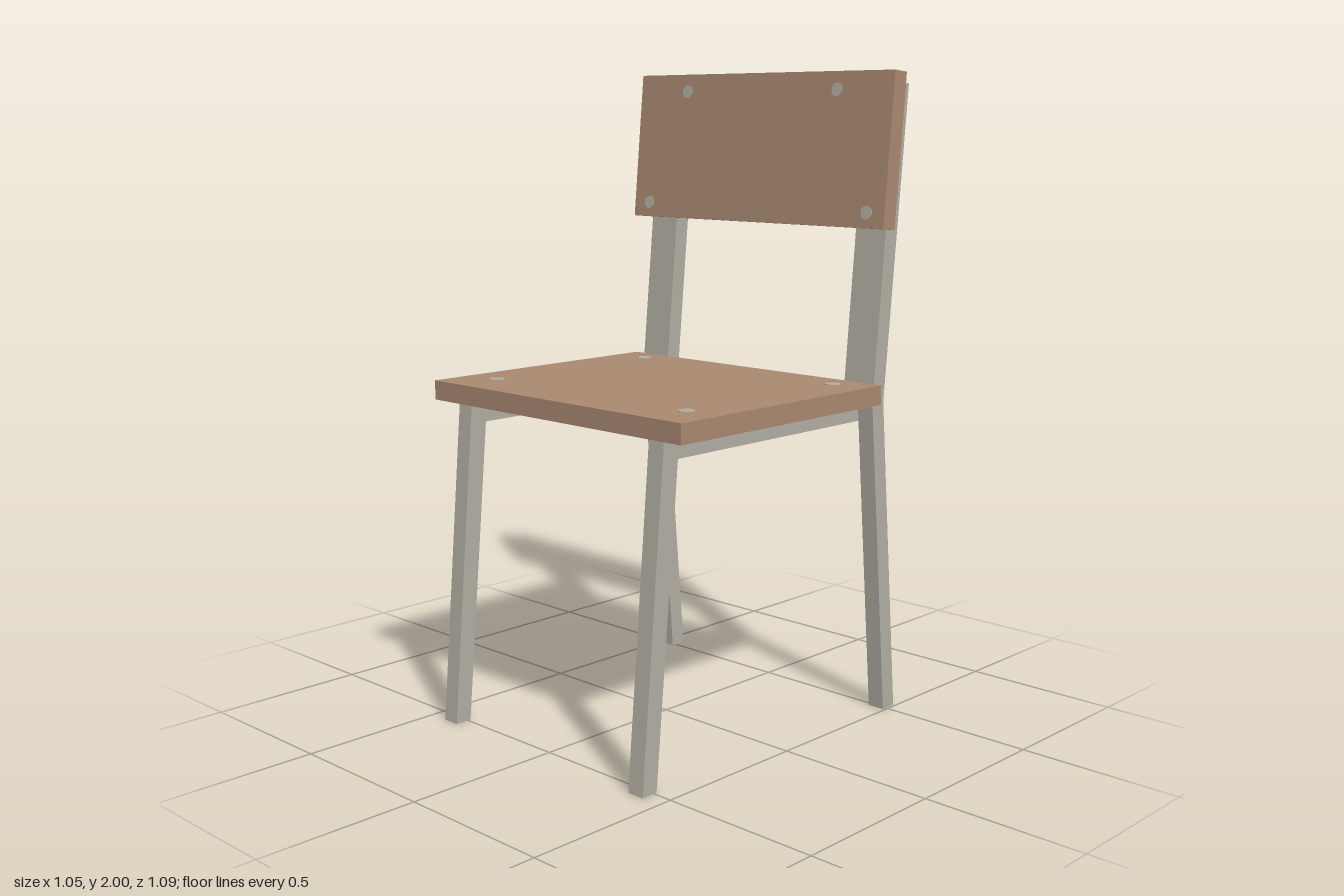
import * as THREE from 'three';

export function createModel() {
  const model = new THREE.Group();
  model.name = 'chair';
  const wood = new THREE.MeshStandardMaterial({ color: 0xa98870 });
  wood.name = 'warm wood';
  const metal = new THREE.MeshStandardMaterial({ color: 0xb1ada2 });
  metal.name = 'warm grey metal';

  const add = (parent, name, geometry, material, x = 0, y = 0, z = 0) => {
    const mesh = new THREE.Mesh(geometry, material);
    mesh.name = name;
    mesh.position.set(x, y, z);
    parent.add(mesh);
    return mesh;
  };

  // Side profile given as [z, y] points, extruded across x and centred on x = 0
  const sideProfile = (points, width) => {
    const shape = new THREE.Shape(points.map(([z, y]) => new THREE.Vector2(z, y)));
    return new THREE.ExtrudeGeometry(shape, { depth: width, bevelEnabled: false })
      .rotateY(-Math.PI / 2)
      .translate(width / 2, 0, 0);
  };

  // Bent rear leg and back post in one piece
  const rearPost = sideProfile([
    [-0.485, 0], [-0.395, 1], [-0.485, 1.97], [-0.543, 1.963], [-0.45, 1], [-0.54, 0],
  ], 0.056);
  // Front leg, seat rail and short upright in one piece
  const innerFrame = sideProfile([
    [0.545, 0], [0.46, 1], [-0.395, 1], [-0.447, 1.56], [-0.502, 1.56],
    [-0.45, 1], [-0.455, 0.94], [0.405, 0.94], [0.49, 0],
  ], 0.057);
  for (const [side, s] of [['left', 1], ['right', -1]]) {
    add(model, side + 'RearPost', rearPost, metal, s * 0.465);
    add(model, side + 'FrontLegAndRail', innerFrame, metal, s * 0.4085);
  }

  // Seat board with four flush bolt heads
  add(model, 'seat', new THREE.BoxGeometry(1.05, 0.06, 0.88), wood, 0, 1.031, 0.045);
  const seatBolt = new THREE.CylinderGeometry(0.025, 0.025, 0.004, 16);
  for (const x of [-0.405, 0.405]) {
    for (const z of [-0.31, 0.337]) add(model, 'seatBolt', seatBolt, metal, x, 1.061, z);
  }

  // Backrest, tilted with the posts; local z = 0 is the front plane of the posts
  const backrest = new THREE.Group();
  backrest.name = 'backrest';
  backrest.position.set(0, 1, -0.395);
  backrest.rotation.x = -0.0925;
  model.add(backrest);

  add(backrest, 'backPanel', new THREE.BoxGeometry(1.05, 0.47, 0.057), wood, 0, 0.765, 0.0285);
  const rail = new THREE.BoxGeometry(0.876, 0.058, 0.055);
  add(backrest, 'topRail', rail, metal, 0, 0.943, -0.0285);
  add(backrest, 'crossRail', rail, metal, 0, 0.593, -0.0285);

  const backBolt = new THREE.CylinderGeometry(0.021, 0.021, 0.004, 16).rotateX(Math.PI / 2);
  for (const s of [-1, 1]) {
    add(backrest, 'upperBackBolt', backBolt, metal, s * 0.312, 0.944, 0.057);
    add(backrest, 'lowerBackBolt', backBolt, metal, s * 0.458, 0.577, 0.057);
  }

  // Blank rounded plate on the rear of the panel
  const w = 0.13, h = 0.075, r = 0.025;
  const plate = new THREE.Shape();
  plate.moveTo(-w + r, -h);
  plate.absarc(w - r, -h + r, r, -Math.PI / 2, 0);
  plate.absarc(w - r, h - r, r, 0, Math.PI / 2);
  plate.absarc(-w + r, h - r, r, Math.PI / 2, Math.PI);
  plate.absarc(-w + r, -h + r, r, Math.PI, Math.PI * 1.5);
  const plateGeometry = new THREE.ExtrudeGeometry(plate, { depth: 0.004, bevelEnabled: false, curveSegments: 6 });
  add(backrest, 'rearPlate', plateGeometry, metal, 0, 0.765, -0.003);

  return model;
}
